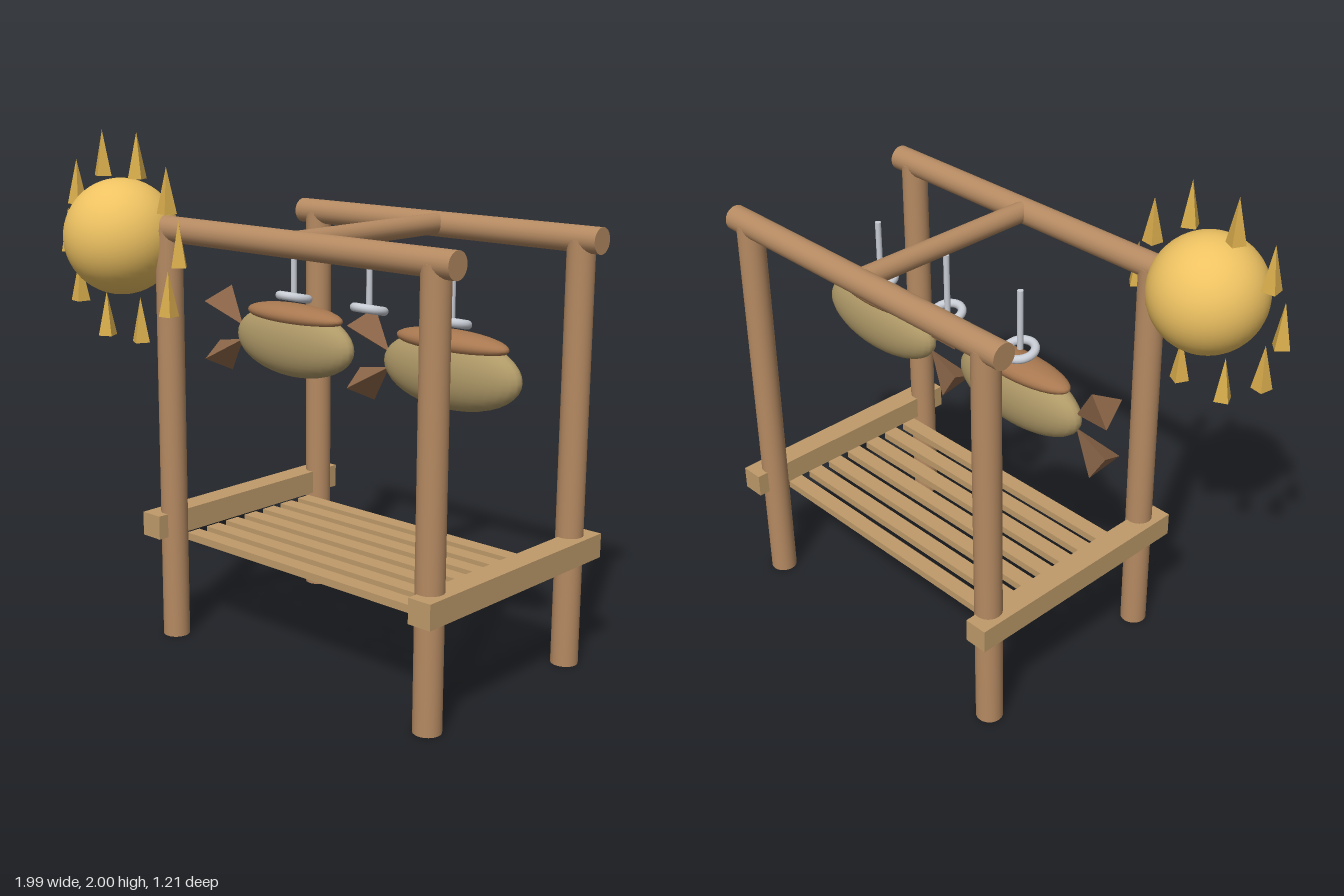
import * as THREE from 'three';

const mat = (color, extra = {}) => new THREE.MeshStandardMaterial({ color, ...extra });
const wood = mat(0xb58a62);
const plank = mat(0xbf9b6a);
const scales = mat(0xb09a68);
const back = mat(0xa87850);
const fin = mat(0x8b6548, { flatShading: true });
const metal = mat(0xc8ccd4);
const gold = mat(0xeec262);
const ray = mat(0xd8ac4c, { flatShading: true });

function add(parent, name, geometry, material, x, y, z) {
  const mesh = new THREE.Mesh(geometry, material);
  mesh.name = name;
  mesh.position.set(x, y, z);
  parent.add(mesh);
  return mesh;
}

const log = (radius, length) => new THREE.CylinderGeometry(radius, radius, length, 24);

// Rack: four posts, two long beams, one cross beam, side rails and slats
function createRack() {
  const rack = new THREE.Group();
  rack.name = 'rack';
  const midX = 0.253;
  for (const z of [0.325, -0.51]) {
    for (const side of [-1, 1]) {
      add(rack, 'post', log(0.053, 1.64), wood, midX + side * 0.653, 0.82, z);
    }
    add(rack, 'topBeam', log(0.05, 1.48), wood, midX, 1.64, z).rotation.z = Math.PI / 2;
  }
  add(rack, 'crossBeam', log(0.041, 0.835), wood, midX, 1.645, -0.0925).rotation.x = Math.PI / 2;
  for (const side of [-1, 1]) {
    add(rack, 'sideRail', new THREE.BoxGeometry(0.096, 0.095, 1.026), plank, midX + side * 0.684, 0.468, -0.093);
  }
  for (let i = 0; i < 7; i++) {
    add(rack, 'slat', new THREE.BoxGeometry(1.3, 0.03, 0.066), plank, midX, 0.395, 0.229 - i * 0.107);
  }
  return rack;
}

// Rod with a tilted ring at its lower end
function createHook(x) {
  const hook = new THREE.Group();
  hook.name = 'hook';
  hook.position.set(x, 0, -0.095);
  add(hook, 'rod', new THREE.CylinderGeometry(0.012, 0.012, 0.24, 12), metal, 0, 1.48, 0);
  add(hook, 'ring', new THREE.TorusGeometry(0.057, 0.017, 12, 32), metal, 0, 1.355, 0).rotation.x = 1.35;
  return hook;
}

// Fish: long body, darker back and two three-sided tail fins
function createFish(x) {
  const fish = new THREE.Group();
  fish.name = 'fish';
  fish.position.set(x, 1.177, -0.095);
  const ball = new THREE.SphereGeometry(1, 32, 20);
  add(fish, 'body', ball, scales, 0, 0, 0).scale.set(0.31, 0.142, 0.087);
  add(fish, 'back', ball, back, 0, 0.107, 0).scale.set(0.25, 0.046, 0.079);
  for (const side of [-1, 1]) {
    const tail = add(fish, 'tailFin', new THREE.ConeGeometry(0.08, 0.17, 3), fin, -0.364, side * 0.075, 0);
    tail.rotation.z = -Math.PI / 2 - side * 0.57;
  }
  return fish;
}

// Sun: a ball with a circle of upright spikes
function createSun() {
  const sun = new THREE.Group();
  sun.name = 'sun';
  sun.position.set(-0.62, 1.597, 0.376);
  add(sun, 'sunBall', new THREE.SphereGeometry(0.226, 40, 28), gold, 0, 0, 0);
  for (let i = 0; i < 10; i++) {
    const a = (i / 10) * Math.PI * 2;
    const spike = add(sun, 'sunRay', new THREE.ConeGeometry(0.039, 0.176, 4), ray,
      Math.cos(a) * 0.333, Math.sin(a) * 0.333, 0);
    spike.rotation.y = a;
  }
  return sun;
}

export function createModel() {
  const model = new THREE.Group();
  model.name = 'fishDryingRack';
  model.add(createRack(), createSun());
  for (const x of [-0.143, 0.251, 0.645]) model.add(createHook(x));
  for (const x of [-0.141, 0.646]) model.add(createFish(x));
  return model;
}
